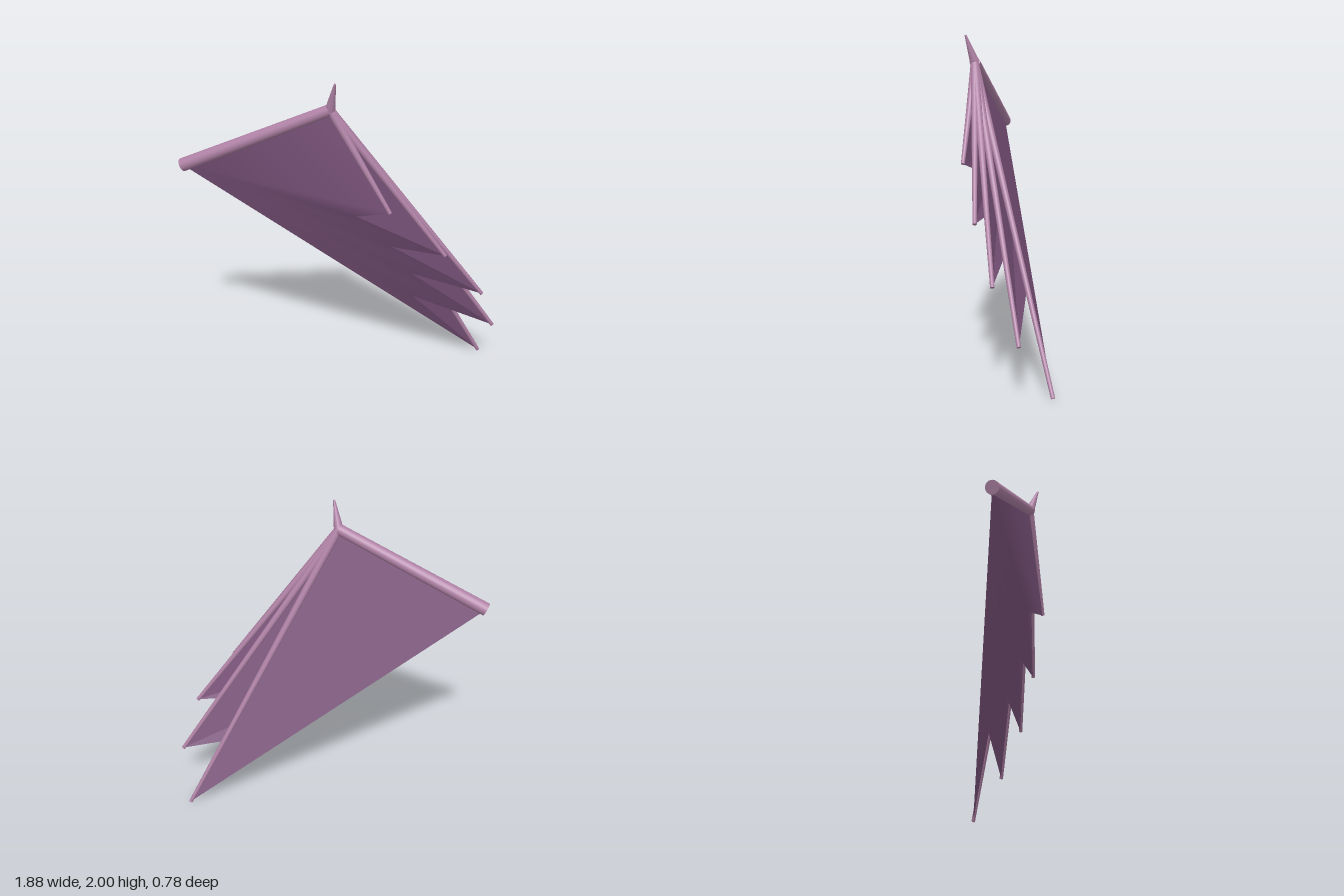
import * as THREE from 'three';

const V = (x, y, z) => new THREE.Vector3(x, y, z);

// Joints of the wing
const elbow = V(-0.925, 1.415, 0.35);
const wrist = V(0.005, 1.835, 0.3);
const clawTip = V(0.05, 2.0, 0.345);
const tips = [
  V(0.36, 1.235, 0.272),
  V(0.665, 0.93, 0.11),
  V(0.875, 0.625, -0.05),
  V(0.932, 0.32, -0.212),
  V(0.825, 0.01, -0.378),
];

// Tapered round bone between two points
function bone(name, a, b, ra, rb, material) {
  const dir = b.clone().sub(a);
  const mesh = new THREE.Mesh(new THREE.CylinderGeometry(rb, ra, dir.length(), 20), material);
  mesh.position.copy(a).add(b).multiplyScalar(0.5);
  mesh.quaternion.setFromUnitVectors(V(0, 1, 0), dir.normalize());
  mesh.name = name;
  return mesh;
}

// Skin spreading from the first point to a chain of points
function fan(name, apex, chain, material) {
  const geometry = new THREE.BufferGeometry().setFromPoints([apex, ...chain]);
  const index = [];
  for (let i = 1; i < chain.length; i++) index.push(0, i + 1, i);
  geometry.setIndex(index);
  geometry.computeVertexNormals();
  const mesh = new THREE.Mesh(geometry, material);
  mesh.name = name;
  return mesh;
}

export function createModel() {
  const boneMat = new THREE.MeshStandardMaterial({ color: 0xb082a6 });
  boneMat.name = 'mauve bone';
  const skinMat = new THREE.MeshStandardMaterial({ color: 0x7d557d, side: THREE.DoubleSide });
  skinMat.name = 'purple skin';

  const wing = new THREE.Group();
  wing.name = 'wing';

  // Arm and thumb claw
  wing.add(bone('arm', elbow, wrist, 0.041, 0.034, boneMat));
  wing.add(bone('claw', wrist, clawTip, 0.03, 0.006, boneMat));

  // Fingers
  tips.forEach((tip, i) => wing.add(bone('finger' + (i + 1), wrist, tip, 0.025, 0.012, boneMat)));

  // Scalloped front skin, notched towards the elbow between the fingertips
  const chain = [wrist, tips[0]];
  for (let i = 1; i < tips.length; i++) {
    const notch = tips[i - 1].clone().lerp(tips[i], 0.5).lerp(elbow, 0.257);
    chain.push(notch, tips[i]);
  }
  wing.add(fan('frontMembrane', elbow, chain, skinMat));

  // Skin folds hanging from each finger behind the front skin
  for (let i = 1; i < tips.length; i++) {
    wing.add(fan('membraneFold' + i, elbow, [tips[i], wrist], skinMat));
  }
  return wing;
}
